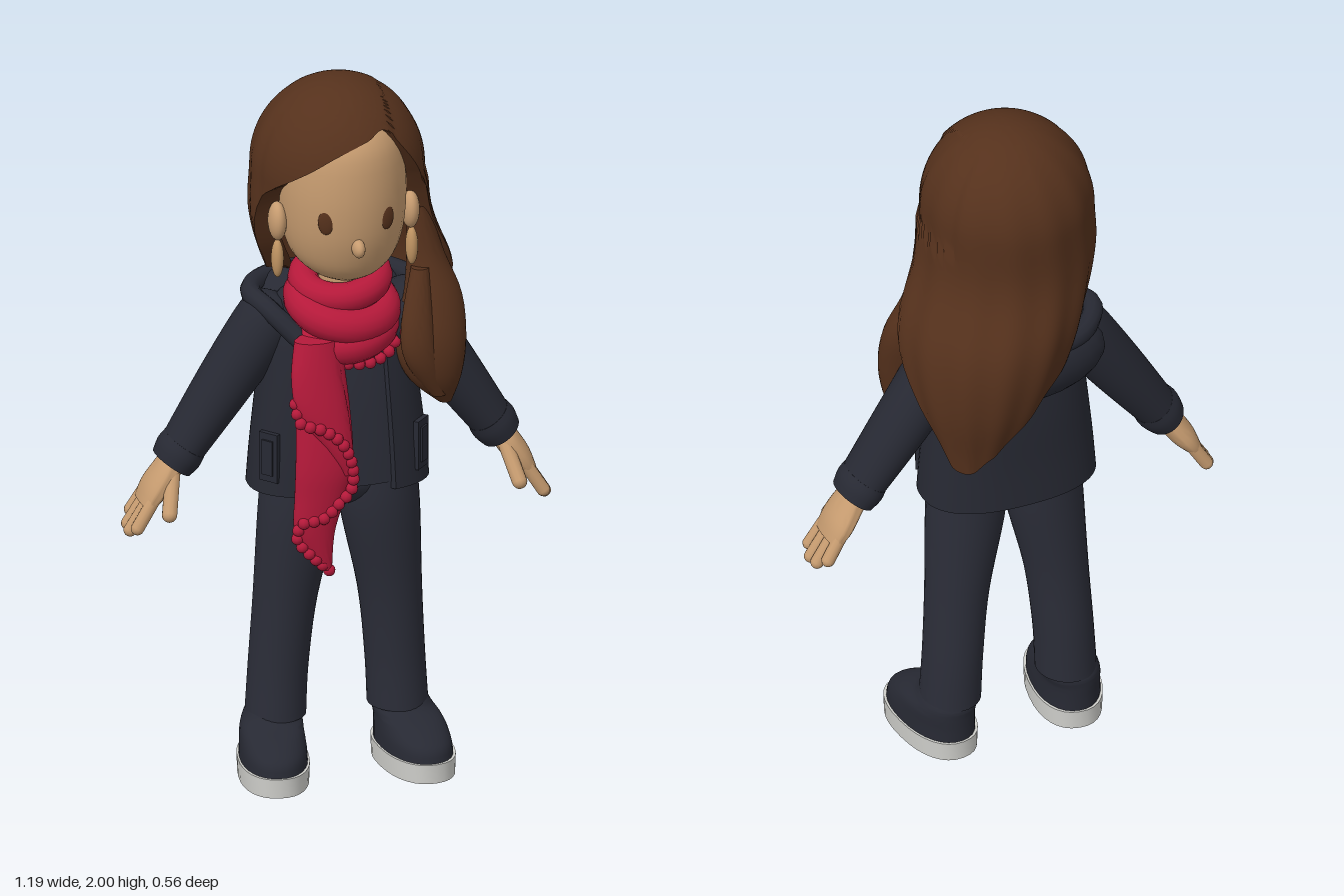
import * as THREE from 'three';
import { toCreasedNormals } from 'three/addons/utils/BufferGeometryUtils.js';

const mat = (name, color) => {
  const m = new THREE.MeshStandardMaterial({ color, side: THREE.DoubleSide });
  m.name = name;
  return m;
};

// Smooth interpolation of table rows at a fractional index
function rowAt(rows, f) {
  const n = rows.length - 1, i = Math.min(Math.floor(f), n - 1), t = f - i;
  const [a, b, c, d] = [i - 1, i, i + 1, i + 2].map(k => rows[Math.max(0, Math.min(n, k))]);
  return b.map((_, k) => b[k] + 0.5 * t * (c[k] - a[k] + t * (2 * a[k] - 5 * b[k] + 4 * c[k] - d[k]
    + t * (3 * (b[k] - c[k]) + d[k] - a[k]))));
}

// The same, looked up by the value in the first column
function lookup(rows, key) {
  const up = rows[1][0] > rows[0][0] ? 1 : -1;
  let i = 0;
  while (i < rows.length - 2 && (key - rows[i + 1][0]) * up > 0) i++;
  const t = (key - rows[i][0]) / (rows[i + 1][0] - rows[i][0]);
  return rowAt(rows, i + Math.max(0, Math.min(1, t)));
}

// Surface from rings that run downwards, each ring turning from +z towards +x
function grid(fn, nu, nv, closed = true, crease = 0.9) {
  const pos = [], idx = [], cols = closed ? nu : nu + 1;
  for (let j = 0; j <= nv; j++) for (let i = 0; i < cols; i++) pos.push(...fn(i, j));
  for (let j = 0; j < nv; j++) for (let i = 0; i < nu; i++) {
    const k = (i + 1) % cols, a = j * cols + i, b = a + cols, c = (j + 1) * cols + k, d = j * cols + k;
    idx.push(a, b, c, a, c, d);
  }
  const g = new THREE.BufferGeometry();
  g.setAttribute('position', new THREE.Float32BufferAttribute(pos, 3));
  g.setIndex(idx);
  return toCreasedNormals(g, crease);
}

const bulge = (v, p) => Math.sign(v) * Math.pow(Math.abs(v), 2 / p);

// Capped loft: rows of [y, centre x, centre z, radius x, radius z], top first
function loft(rows, { nu = 32, nv = 24, power = 2 } = {}) {
  return grid((i, j) => {
    const r = rowAt(rows, Math.max(0, Math.min(1, (j - 1) / (nv - 2))) * (rows.length - 1));
    const k = j === 0 || j === nv ? 0 : 1, a = i / nu * Math.PI * 2;
    return [r[1] + k * r[3] * bulge(Math.sin(a), power), r[0], r[2] + k * r[4] * bulge(Math.cos(a), power)];
  }, nu, nv);
}

export function createModel() {
  const model = new THREE.Group();
  const skin = mat('skin', 0xc79c70), hairMat = mat('hair brown', 0x55311c), red = mat('scarf red', 0xb5193a);
  const navy = mat('jacket navy', 0x272933), denim = mat('trouser navy', 0x2b2d38);
  const white = mat('sole grey', 0xcfcfcb), gold = mat('earring tan', 0xc09462);

  const add = (name, geo, m, p = [0, 0, 0], parent = model) => {
    const mesh = new THREE.Mesh(geo, m);
    mesh.name = name;
    mesh.position.set(...p);
    parent.add(mesh);
    return mesh;
  };
  const ball = (name, m, p, s, parent = model) => {
    const mesh = add(name, new THREE.SphereGeometry(1, 24, 16), m, p, parent);
    mesh.scale.set(...s);
    return mesh;
  };
  const limb = (name, m, a, b, r, parent) => {
    const A = new THREE.Vector3(...a), B = new THREE.Vector3(...b), d = B.clone().sub(A);
    const mesh = add(name, new THREE.CapsuleGeometry(r, d.length(), 6, 12), m,
      A.add(B).multiplyScalar(0.5).toArray(), parent);
    mesh.quaternion.setFromUnitVectors(new THREE.Vector3(0, 1, 0), d.normalize());
  };
  const curve = pts => new THREE.CatmullRomCurve3(pts.map(p => new THREE.Vector3(...p)));

  // Head and face
  add('head', loft([[1.94, 0, 0.07, 0.06, 0.08], [1.87, 0, 0.07, 0.145, 0.17], [1.75, 0, 0.07, 0.172, 0.192],
    [1.62, 0, 0.07, 0.17, 0.185], [1.53, 0, 0.08, 0.146, 0.15], [1.48, 0, 0.1, 0.1, 0.1],
    [1.455, 0, 0.11, 0.05, 0.05]]), skin);
  ball('nose', skin, [0, 1.585, 0.252], [0.018, 0.026, 0.032]);
  add('neck', new THREE.CylinderGeometry(0.06, 0.065, 0.2, 24), skin, [0, 1.42, 0.06]);
  for (const s of [-1, 1]) {
    ball('eye', hairMat, [s * 0.085, 1.66, 0.2315], [0.022, 0.035, 0.008]).rotation.y = s * 0.42;
    ball('ear', skin, [s * 0.185, 1.62, 0.09], [0.025, 0.055, 0.04]);
    ball('earring', gold, [s * 0.187, 1.515, 0.1], [0.017, 0.055, 0.022]);
  }

  // Long hair: one shell whose hem follows the face, then falls to the left side of the back
  const hairRows = [[1.75, 0, 0.03, 0.24, 0.24], [1.6, 0.008, 0.02, 0.247, 0.238], [1.42, 0.07, -0.01, 0.25, 0.265],
    [1.25, 0.115, -0.07, 0.2, 0.2], [1.05, 0.15, -0.14, 0.11, 0.08]];
  const hem = [[-180, 1.1], [-155, 1.22], [-125, 1.36], [-100, 1.43], [-88, 1.52], [-76, 1.68], [-60, 1.74],
    [-40, 1.79], [-15, 1.85], [10, 1.885], [28, 1.9], [45, 1.82], [60, 1.74], [70, 1.66], [78, 1.52], [88, 1.35],
    [100, 1.22], [120, 1.07], [155, 1.05], [180, 1.1]];
  const HU = 120, HV = 44;
  add('hair', grid((i, j) => {
    const deg = i / HU * 360 - 180, a = deg * Math.PI / 180, v = Math.min(1, j / (HV - 1));
    const y = 2 - (2 - lookup(hem, deg)[1]) * v * v;
    const r = lookup(hairRows, Math.min(1.75, y));
    let k = y > 1.75 ? Math.sqrt(Math.max(0, 1 - ((y - 1.75) / 0.25) ** 2)) : 1;
    k *= 1 + 0.016 * v * Math.sin(a * 13 + y * 5) * (Math.cos(a) < 0.3 ? 1 : 0);
    if (r[1] + r[3] * k * Math.sin(a) > 0.11 && Math.cos(a) > -0.5 && y > 1.7) k *= 0.965;
    if (j === HV) k *= 0.72;
    return [r[1] + r[3] * k * Math.sin(a), y, r[2] + r[4] * k * Math.cos(a)];
  }, HU, HV, true, 0.7), hairMat);
  add('frontLock', loft([[1.62, 0.215, 0.05, 0.03, 0.04], [1.48, 0.235, 0.055, 0.05, 0.05],
    [1.36, 0.25, 0.08, 0.08, 0.065], [1.24, 0.235, 0.11, 0.1, 0.07], [1.14, 0.245, 0.12, 0.075, 0.055],
    [1.06, 0.275, 0.11, 0.02, 0.025]]), hairMat);
  add('frontLockStrand', loft([[1.45, 0.21, 0.1, 0.025, 0.025], [1.3, 0.19, 0.15, 0.045, 0.03],
    [1.2, 0.2, 0.16, 0.045, 0.03], [1.09, 0.25, 0.145, 0.02, 0.015]]), hairMat);

  // Shirt under an open jacket
  const torso = [[1.4, 0, 0.01, 0.1, 0.07], [1.36, 0, 0.01, 0.165, 0.1], [1.28, 0, 0.01, 0.2, 0.13],
    [1.12, 0, 0.015, 0.22, 0.145], [0.95, 0, 0.02, 0.24, 0.148], [0.83, 0, 0.02, 0.25, 0.15]];
  add('shirt', loft(torso.map(([y, x, z, rx, rz]) => [Math.max(y, 0.85), x, z, rx * 0.93, rz * 0.93]),
    { power: 2.4 }), denim);
  const JU = 50, JV = 24;
  add('jacket', grid((i, j) => {
    const r = rowAt(torso, Math.min(1, j / (JV - 1)) * (torso.length - 1));
    const k = i === 0 || i === JU || j === JV ? 0.9 : 1;
    const a = 0.47 + Math.max(0, Math.min(1, (i - 1) / (JU - 2))) * (Math.PI * 2 - 0.94);
    return [k * r[3] * bulge(Math.sin(a), 2.4), r[0], r[2] + k * r[4] * bulge(Math.cos(a), 2.4)];
  }, JU, JV, false), navy);

  // Hood lying on the back
  ball('hood', navy, [0, 1.3, -0.1], [0.235, 0.12, 0.11]);
  add('hoodRim', new THREE.TubeGeometry(curve([[-0.12, 1.27, 0.13], [-0.2, 1.35, 0.06], [-0.23, 1.37, -0.03],
    [-0.15, 1.37, -0.14], [0, 1.37, -0.17], [0.15, 1.37, -0.14], [0.23, 1.36, -0.03], [0.2, 1.34, 0.06],
    [0.12, 1.27, 0.13]]), 48, 0.028, 10), navy);

  // Trousers
  ball('hips', denim, [0, 0.86, 0.03], [0.205, 0.1, 0.115]);
  for (const s of [-1, 1]) {
    add('trouserLeg', loft([[0.9, s * 0.105, 0.035, 0.105, 0.11], [0.75, s * 0.113, 0.035, 0.11, 0.108],
      [0.5, s * 0.145, 0.02, 0.088, 0.092], [0.3, s * 0.162, 0.01, 0.082, 0.09],
      [0.155, s * 0.17, 0.01, 0.083, 0.092]]), denim);

    // Shoes, turned slightly outwards
    const shoe = new THREE.Group();
    shoe.name = 'shoe';
    shoe.position.x = s * 0.183;
    shoe.rotation.y = s * 0.14;
    model.add(shoe);
    add('sole', loft([[0.055, 0, 0.085, 0.097, 0.172], [0, 0, 0.085, 0.095, 0.17]], { nv: 4, power: 2.3 }),
      white, [0, 0, 0], shoe);
    add('shoeUpper', loft([[0.17, -s * 0.005, 0.01, 0.07, 0.078], [0.15, -s * 0.005, 0.015, 0.08, 0.095],
      [0.125, 0, 0.05, 0.086, 0.13], [0.09, 0, 0.078, 0.09, 0.158], [0.05, 0, 0.085, 0.092, 0.166]],
    { power: 2.2 }), navy, [0, 0, 0], shoe);

    // Arm: sleeve, cuff and hand hang from the shoulder
    const arm = new THREE.Group();
    arm.name = 'arm';
    arm.position.set(s * 0.19, 1.3, 0);
    arm.rotation.z = s * 0.6;
    model.add(arm);
    add('sleeve', loft([[0.07, 0, 0, 0.03, 0.035], [0.05, 0, 0, 0.065, 0.07], [0, 0, 0, 0.085, 0.09],
      [-0.2, 0, 0, 0.078, 0.085], [-0.43, 0, 0.005, 0.06, 0.076]]), navy, [0, 0, 0], arm);
    add('cuff', loft([[-0.41, 0, 0.005, 0.062, 0.078], [-0.44, 0, 0.005, 0.066, 0.08],
      [-0.475, 0, 0.005, 0.058, 0.074]], { nv: 8 }), navy, [0, 0, 0], arm);
    add('palm', loft([[-0.46, 0, 0, 0.036, 0.045], [-0.5, 0, 0.003, 0.036, 0.06], [-0.56, 0, 0, 0.034, 0.07],
      [-0.61, 0, 0, 0.022, 0.064]], { nv: 12 }), skin, [0, 0, 0], arm);
    [[-0.052, 0.655], [-0.018, 0.685], [0.018, 0.69], [0.052, 0.67]].forEach(([z, len]) =>
      limb('finger', skin, [0, -0.57, z * 0.9], [-s * 0.004, -len, z * 1.05], 0.0185, arm));
    limb('thumb', skin, [-s * 0.01, -0.5, 0.04], [-s * 0.04, -0.585, 0.1], 0.021, arm);

    // Jacket pocket
    const pocket = add('pocket', new THREE.BoxGeometry(0.06, 0.14, 0.014), navy, [s * 0.211, 0.94, 0.108]);
    pocket.rotation.y = s * 0.85;
    add('pocketFlap', new THREE.BoxGeometry(0.034, 0.1, 0.008), navy, [0, 0, 0.009], pocket);
  }

  // Scarf wound round the neck
  [[1.425, 0.05, 0.1, 0.042, 0.25, 0.1], [1.36, 0.07, 0.112, 0.05, 0.3, -0.12],
    [1.3, 0.07, 0.108, 0.05, 0.28, 0.14]].forEach(([y, z, R, r, tilt, roll]) => {
    const loop = add('scarfLoop', new THREE.TorusGeometry(R, r, 14, 40), red, [0, y, z]);
    loop.rotation.set(Math.PI / 2 + tilt, roll, 0);
  });

  // Hanging scarf end, an upper fold over a longer tail
  add('scarfTail', loft([[1.3, -0.09, 0.17, 0.06, 0.04], [1.1, -0.085, 0.2, 0.075, 0.035],
    [0.95, -0.085, 0.215, 0.08, 0.035], [0.86, -0.095, 0.212, 0.072, 0.035], [0.75, -0.11, 0.21, 0.055, 0.028],
    [0.64, -0.08, 0.205, 0.018, 0.018]]), red);
  add('scarfFold', loft([[1.3, -0.1, 0.18, 0.06, 0.035], [1.2, -0.105, 0.205, 0.07, 0.03],
    [1.1, -0.09, 0.22, 0.07, 0.03], [1.0, -0.05, 0.23, 0.04, 0.025], [0.92, -0.025, 0.23, 0.015, 0.015]]), red);

  // Pompom trims
  const trims = [
    [curve([[-0.165, 1.13, 0.21], [-0.155, 1.08, 0.235], [-0.105, 1.065, 0.25], [-0.05, 1.025, 0.252],
      [-0.015, 0.95, 0.245], [-0.015, 0.875, 0.235], [-0.05, 0.84, 0.24], [-0.095, 0.8, 0.242],
      [-0.15, 0.785, 0.23], [-0.16, 0.735, 0.215], [-0.13, 0.695, 0.222], [-0.07, 0.635, 0.208]]), 25],
    [curve([[-0.01, 1.22, 0.18], [0.05, 1.215, 0.175], [0.11, 1.235, 0.155], [0.145, 1.28, 0.13]]), 6],
  ];
  for (const [path, n] of trims) for (const p of path.getSpacedPoints(n))
    add('pompom', new THREE.SphereGeometry(0.017, 10, 8), red, p.toArray());

  return model;
}
